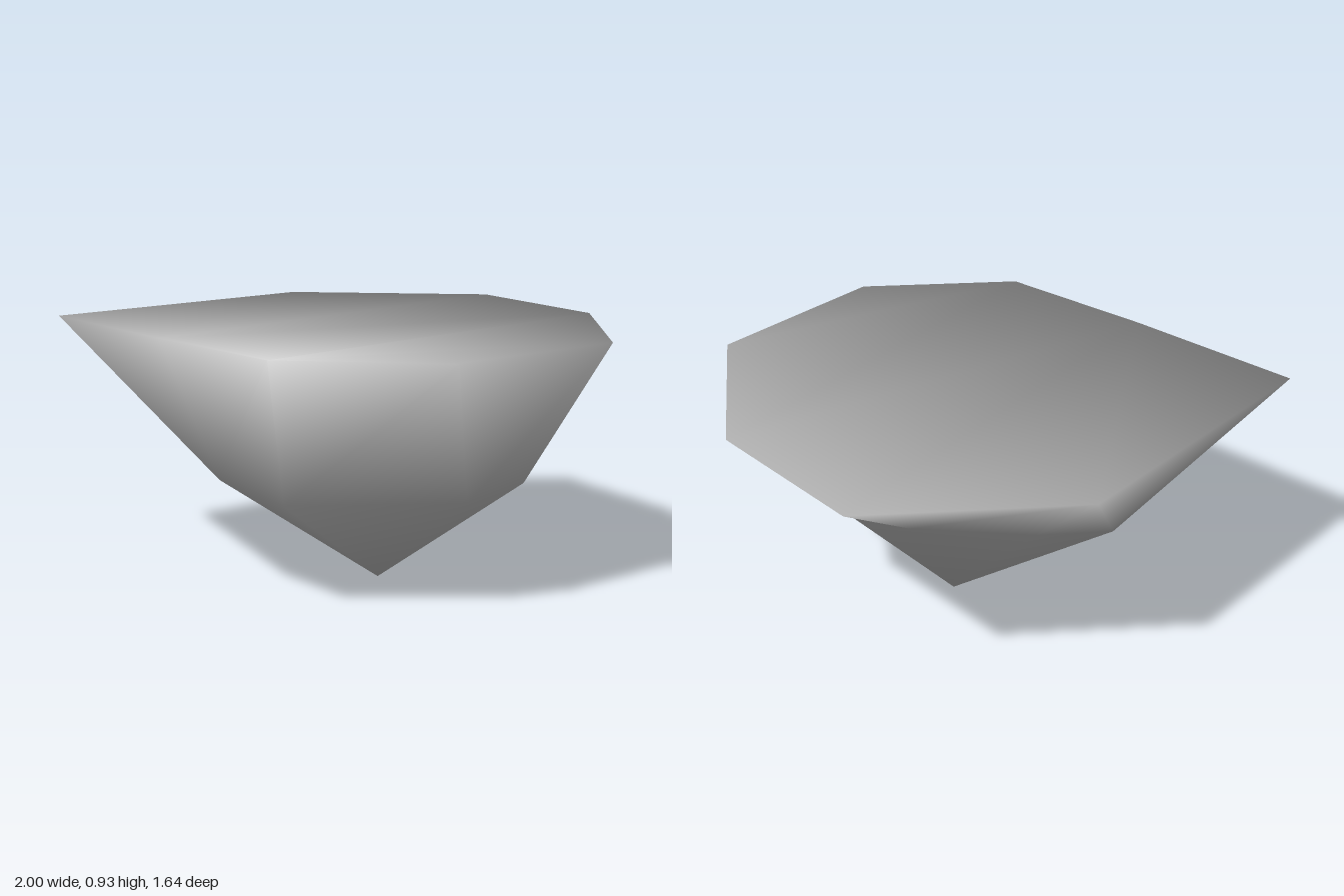
import * as THREE from 'three';

// Smooth normals that weigh each face by its corner angle, so the flat top does not dominate.
function angleNormals(points, index) {
  const normals = points.map(() => new THREE.Vector3());
  for (let t = 0; t < index.length; t += 3) {
    const ids = index.slice(t, t + 3);
    const [a, b, c] = ids.map((id) => points[id]);
    const face = new THREE.Triangle(a, b, c).getNormal(new THREE.Vector3());
    ids.forEach((id, k) => {
      const toNext = points[ids[(k + 1) % 3]].clone().sub(points[id]);
      const toLast = points[ids[(k + 2) % 3]].clone().sub(points[id]);
      normals[id].addScaledVector(face, toNext.angleTo(toLast));
    });
  }
  return normals.flatMap((v) => v.normalize().toArray());
}

// Faceted rock: flat top, one middle ring, one low point.
export function createModel() {
  const group = new THREE.Group();
  group.name = 'rock';
  const stone = new THREE.MeshStandardMaterial({ color: 0xb8b8b8 });
  stone.name = 'grey stone';

  const top = 0.93;
  // Rim outline (x, z), clockwise seen from above
  const rim = [
    [-1, -0.06], [-0.22, -0.82], [0.57, -0.825], [0.96, -0.33],
    [1, 0.36], [0.5, 0.82], [-0.1, 0.82], [-0.53, 0.42],
  ].map(([x, z]) => [x, top, z]);
  // Middle ring, one point under each rim point
  const middle = [
    [-0.38, 0.36, -0.13], [-0.08, 0.5, -0.34], [0.36, 0.55, -0.34], [0.62, 0.5, -0.1],
    [0.72, 0.41, 0.24], [0.53, 0.41, 0.54], [-0.08, 0.4, 0.6], [-0.33, 0.43, 0.385],
  ];
  const points = [...rim, ...middle, [0.2, 0, 0.07]].map((p) => new THREE.Vector3(...p));

  const n = rim.length, tip = 2 * n;
  // Flat top, split in a zigzag across the rim points
  const index = [0, 7, 1, 1, 7, 2, 2, 7, 3, 3, 7, 6, 3, 6, 4, 4, 6, 5];
  // Sides split along the diagonal that starts at the next rim point
  const turned = [0, 3, 7];
  for (let i = 0; i < n; i++) {
    const j = (i + 1) % n, a = n + i, b = n + j;
    if (turned.includes(i)) index.push(i, j, a, j, b, a);
    else index.push(i, j, b, i, b, a);
    index.push(a, b, tip);                       // lower sides
  }

  const geometry = new THREE.BufferGeometry();
  geometry.setFromPoints(points);
  geometry.setAttribute('normal', new THREE.Float32BufferAttribute(angleNormals(points, index), 3));
  geometry.setIndex(index);

  const body = new THREE.Mesh(geometry, stone);
  body.name = 'rockBody';
  group.add(body);
  return group;
}
